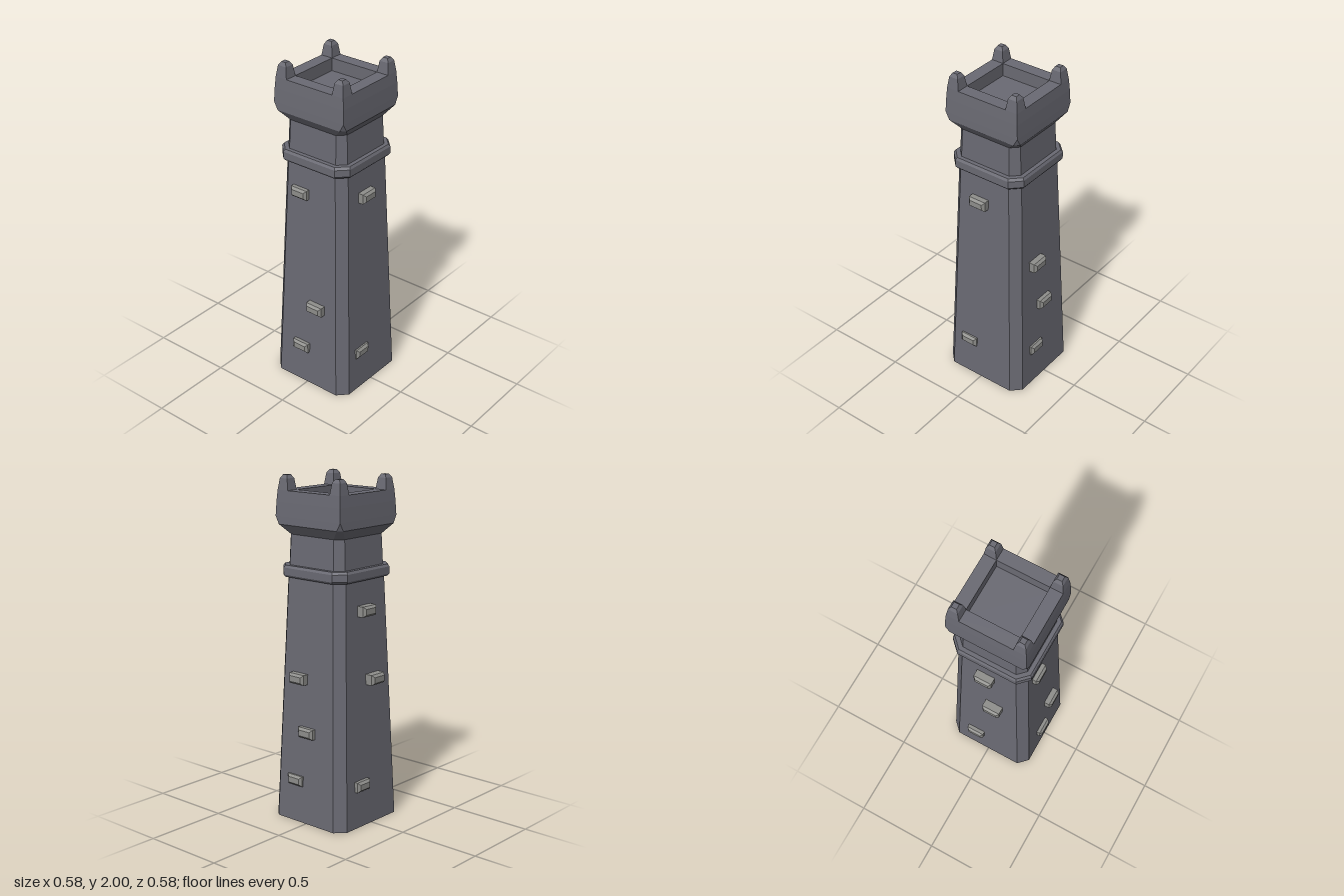
import * as THREE from 'three';

const stone = new THREE.MeshStandardMaterial({ color: 0x6a6a73, flatShading: true });
stone.name = 'dark stone';
const pale = new THREE.MeshStandardMaterial({ color: 0x8e8e8b, flatShading: true });
pale.name = 'pale stone';

// Rectangle with cut corners, counter-clockwise seen from above
function ring([y, hx, hz, c]) {
  const ix = hx - c, iz = hz - c;
  return [[hx, -iz], [ix, -hz], [-ix, -hz], [-hx, -iz], [-hx, iz], [-ix, hz], [ix, hz], [hx, iz]]
    .map(([x, z]) => new THREE.Vector3(x, y, z));
}

// Closed solid through a stack of rings [y, halfX, halfZ, cornerCut]
function loft(sections) {
  const rings = sections.map(ring), pos = [];
  const tri = (a, b, c) => {
    if (new THREE.Triangle(a, b, c).getArea() > 1e-8) for (const p of [a, b, c]) pos.push(p.x, p.y, p.z);
  };
  for (let r = 0; r < rings.length - 1; r++) {
    const lo = rings[r], hi = rings[r + 1];
    for (let i = 0; i < 8; i++) {
      const j = (i + 1) % 8;
      tri(lo[i], lo[j], hi[j]);
      tri(lo[i], hi[j], hi[i]);
    }
  }
  const first = rings[0], last = rings[rings.length - 1];
  for (let i = 1; i < 7; i++) {
    tri(first[0], first[i + 1], first[i]);
    tri(last[0], last[i], last[i + 1]);
  }
  const geo = new THREE.BufferGeometry();
  geo.setAttribute('position', new THREE.Float32BufferAttribute(pos, 3));
  geo.computeVertexNormals();
  return geo;
}

const square = ([y, h, c]) => [y, h, h, c];

function add(parent, name, geo, material) {
  const mesh = new THREE.Mesh(geo, material);
  mesh.name = name;
  parent.add(mesh);
  return mesh;
}

export function createModel() {
  const model = new THREE.Group();
  model.name = 'watchtower';
  const tower = new THREE.Group();
  tower.name = 'tower';
  tower.position.set(0.003, 0, 0.004);
  model.add(tower);

  // Tapering shaft and its collar
  add(tower, 'shaft', loft([[0, 0.271, 0.056], [1.44, 0.215, 0.05]].map(square)), stone);
  add(tower, 'collar', loft([
    [1.43, 0.233, 0.058], [1.442, 0.241, 0.06], [1.483, 0.241, 0.06], [1.497, 0.232, 0.058],
  ].map(square)), stone);

  // Neck flaring into a square parapet with a sunken floor
  add(tower, 'crown', loft([
    [1.48, 0.209, 0.045], [1.67, 0.201, 0.043], [1.725, 0.241, 0.026], [1.77, 0.24, 0],
    [1.85, 0.236, 0], [1.915, 0.231, 0], [1.915, 0.156, 0], [1.84, 0.156, 0],
  ].map(square)), stone);

  // Corner merlons, leaning in on all sides
  const merlon = loft([[1.915, 0.0375, 0], [1.98, 0.028, 0], [2, 0.015, 0]].map(square));
  for (const sx of [-1, 1]) for (const sz of [-1, 1]) {
    add(tower, 'merlon', merlon, stone).position.set(sx * 0.1935, 0, sz * 0.1935);
  }

  // Protruding bricks per wall: [sideways offset, height, outer face distance]
  const brick = loft([
    [-0.08, 0.055, 0.03, 0], [-0.014, 0.055, 0.03, 0], [0, 0.041, 0.017, 0],
  ]).rotateX(Math.PI / 2);
  const walls = [
    ['front', 0, [[-0.022, 1.26, 0.271], [-0.088, 0.25, 0.288]]],
    ['left', Math.PI / 2, [[-0.065, 0.86, 0.288], [0, 0.55, 0.288], [-0.083, 0.25, 0.288]]],
    ['back', Math.PI, [[-0.021, 1.26, 0.272], [0.035, 0.86, 0.291], [-0.085, 0.25, 0.291]]],
    ['right', -Math.PI / 2, [[-0.067, 1.26, 0.255], [0.062, 0.55, 0.291], [-0.042, 0.25, 0.291]]],
  ];
  for (const [side, turn, bricks] of walls) {
    const wall = new THREE.Group();
    wall.name = side + 'Bricks';
    wall.rotation.y = turn;
    for (const [u, y, d] of bricks) add(wall, 'brick', brick, pale).position.set(u, y, d);
    model.add(wall);
  }
  return model;
}
